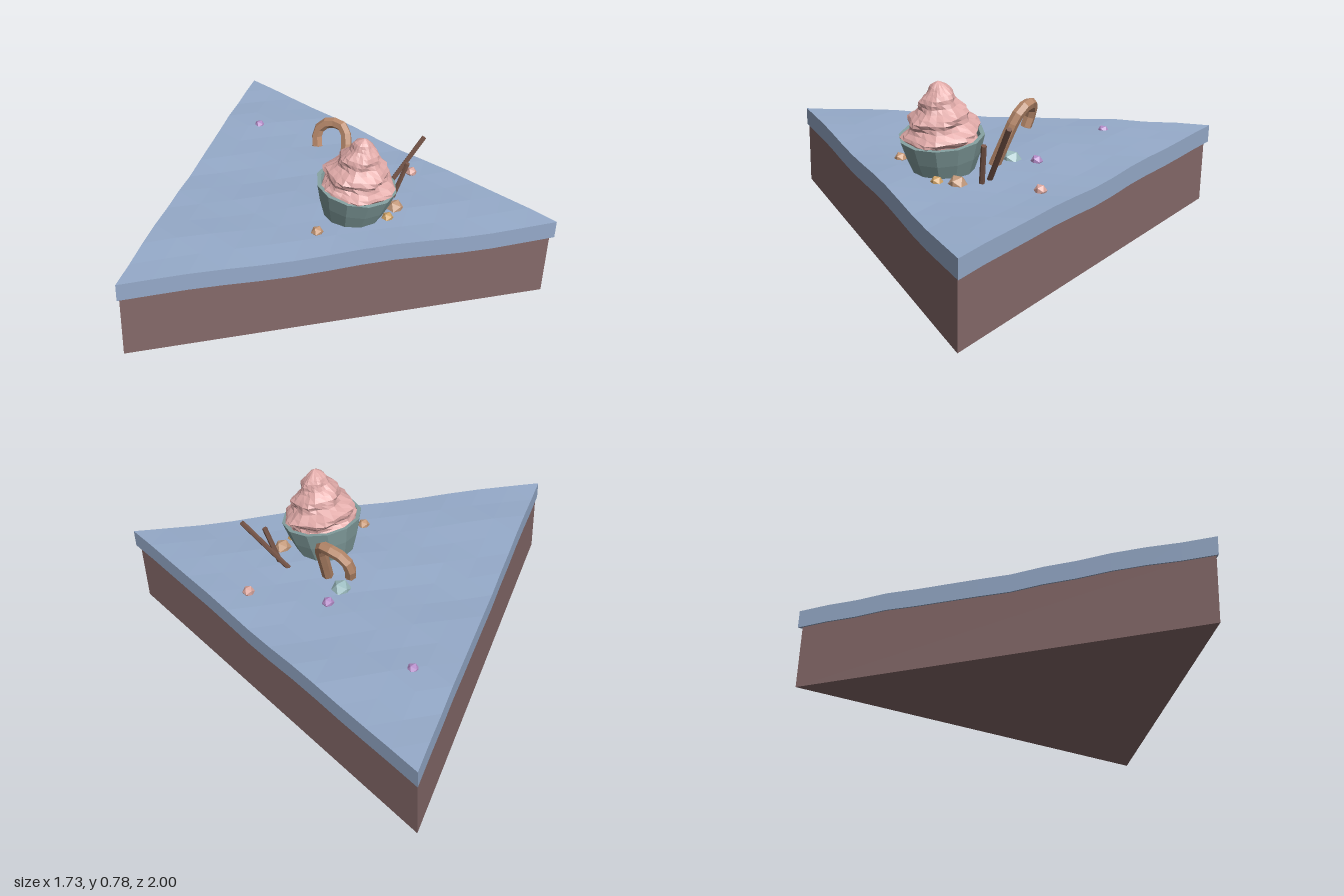
import * as THREE from 'three';

const mat = (color, side = THREE.FrontSide) =>
  new THREE.MeshStandardMaterial({ color, flatShading: true, side });

function add(parent, name, geometry, material) {
  const mesh = new THREE.Mesh(geometry, material);
  mesh.name = name;
  parent.add(mesh);
  return mesh;
}

// Gentle waves of the icing surface
const waveY = (x, z) => 0.38 + 0.005 * Math.sin(7.5 * x + 2.2 * z + 5.2)
  + 0.004 * Math.sin(6.5 * z - 3 * x + 0.6) + 0.003 * Math.sin(13 * x - 11 * z);

// Triangular wavy slab: faceted top, underside and walls
function icingGeometry() {
  const n = 13, thick = 0.083, pos = [];
  const point = (i, j, drop = 0) => {
    const x = -0.865 + 1.73 * i / n, z = (2 * j - i) / n;
    return [x, waveY(x, z) - drop, z];
  };
  const tri = (a, b, c) => pos.push(...a, ...b, ...c);
  for (let i = 0; i < n; i++) for (let j = 0; j <= i; j++) {
    const cells = [[[i, j], [i + 1, j + 1], [i + 1, j]]];
    if (j < i) cells.push([[i, j], [i, j + 1], [i + 1, j + 1]]);
    for (const [a, b, c] of cells) {
      tri(point(...a), point(...b), point(...c));
      tri(point(...a, thick), point(...c, thick), point(...b, thick));
    }
  }
  const wall = (p, q) => {
    tri(point(...p, thick), point(...q, thick), point(...q));
    tri(point(...p, thick), point(...q), point(...p));
  };
  for (let k = 0; k < n; k++) {
    wall([k, k], [k + 1, k + 1]);
    wall([n, n - k], [n, n - k - 1]);
    wall([n - k, 0], [n - k - 1, 0]);
  }
  const g = new THREE.BufferGeometry();
  g.setAttribute('position', new THREE.Float32BufferAttribute(pos, 3));
  g.computeVertexNormals();
  return g;
}

// Whipped swirl: lathe pushed in and out by a coil and twisted ridges
function swirlGeometry() {
  const profile = new THREE.SplineCurve([[0.125, 0.1], [0.15, 0.16], [0.152, 0.2], [0.125, 0.25],
    [0.092, 0.3], [0.062, 0.35], [0.034, 0.39], [0, 0.412]].map(p => new THREE.Vector2(...p)));
  const g = new THREE.LatheGeometry(profile.getPoints(20), 24);
  const p = g.attributes.position;
  for (let i = 0; i < p.count; i++) {
    const x = p.getX(i), y = p.getY(i), z = p.getZ(i), a = Math.atan2(x, z);
    const s = 1 + 0.11 * Math.sin(2 * Math.PI * y / 0.08 - a) + 0.07 * Math.cos(6 * a - 45 * y);
    p.setXYZ(i, x * s, y, z * s);
  }
  g.computeVertexNormals();
  return g;
}

export function createModel() {
  const model = new THREE.Group();
  model.name = 'cakeSlice';

  // Sponge and icing
  const sponge = add(model, 'sponge',
    new THREE.CylinderGeometry(1.135, 1.135, 0.315, 3, 1, false, Math.PI * 1.5), mat(0x866a6a));
  sponge.position.set(0.283, 0.1575, 0);
  add(model, 'icing', icingGeometry(), mat(0x96abca));

  // Tilted cup with its swirl
  const cupcake = new THREE.Group();
  cupcake.name = 'cupcake';
  cupcake.position.set(0.255, 0.375, 0.3);
  cupcake.rotation.set(0.125, 0, -0.02);
  model.add(cupcake);
  const cupProfile = [[0, -0.02], [0.122, -0.02], [0.162, 0.09], [0.184, 0.17], [0.165, 0.17], [0.14, 0.09], [0, 0.09]];
  add(cupcake, 'cup', new THREE.LatheGeometry(cupProfile.map(p => new THREE.Vector2(...p)), 12),
    mat(0x84a0a0, THREE.DoubleSide));
  add(cupcake, 'swirl', swirlGeometry(), mat(0xe0aaa8, THREE.DoubleSide));

  // Hooked cane with closed ends
  const caneMat = mat(0xb98a6c);
  const canePath = new THREE.CatmullRomCurve3([[0.385, 0.36, 0.125], [0.43, 0.5, 0.092],
    [0.464, 0.6, 0.065], [0.475, 0.634, 0.03], [0.47, 0.638, -0.02], [0.45, 0.62, -0.068],
    [0.432, 0.575, -0.092], [0.418, 0.512, -0.078]].map(p => new THREE.Vector3(...p)));
  const cane = new THREE.Group();
  cane.name = 'cane';
  model.add(cane);
  add(cane, 'caneHook', new THREE.TubeGeometry(canePath, 12, 0.026, 6), caneMat);
  const tip = add(cane, 'caneEnd', new THREE.CylinderGeometry(0.025, 0.025, 0.006, 6), caneMat);
  tip.position.copy(canePath.getPoint(1));
  tip.quaternion.setFromUnitVectors(new THREE.Vector3(0, 1, 0), canePath.getTangent(1));

  // Wafer sticks
  const stickMat = mat(0x79574a);
  for (const [from, to] of [[[0.475, 0.36, 0.283], [0.645, 0.655, 0.383]],
    [[0.485, 0.36, 0.343], [0.528, 0.565, 0.39]]]) {
    const a = new THREE.Vector3(...from), b = new THREE.Vector3(...to);
    const stick = add(model, 'waferStick', new THREE.CylinderGeometry(0.012, 0.012, a.distanceTo(b), 6), stickMat);
    stick.position.lerpVectors(a, b, 0.5);
    stick.quaternion.setFromUnitVectors(new THREE.Vector3(0, 1, 0), b.sub(a).normalize());
  }

  // Round sprinkles half sunk in the icing: x, y, z, radius, color
  for (const [x, y, z, r, color] of [
    [0.022, 0.383, 0.31, 0.029, 0xc89a78], [0.335, 0.383, 0.45, 0.029, 0xd0a468],
    [0.42, 0.384, 0.42, 0.042, 0xc49a7c], [0.405, 0.375, 0.01, 0.048, 0x9cbcc0],
    [0.51, 0.383, -0.03, 0.028, 0xb48cc8], [0.517, 0.383, -0.588, 0.028, 0xb48cc8],
    [0.723, 0.383, 0.265, 0.028, 0xdca8a0]]) {
    add(model, 'sprinkle', new THREE.IcosahedronGeometry(r, 0), mat(color)).position.set(x, y, z);
  }
  return model;
}
